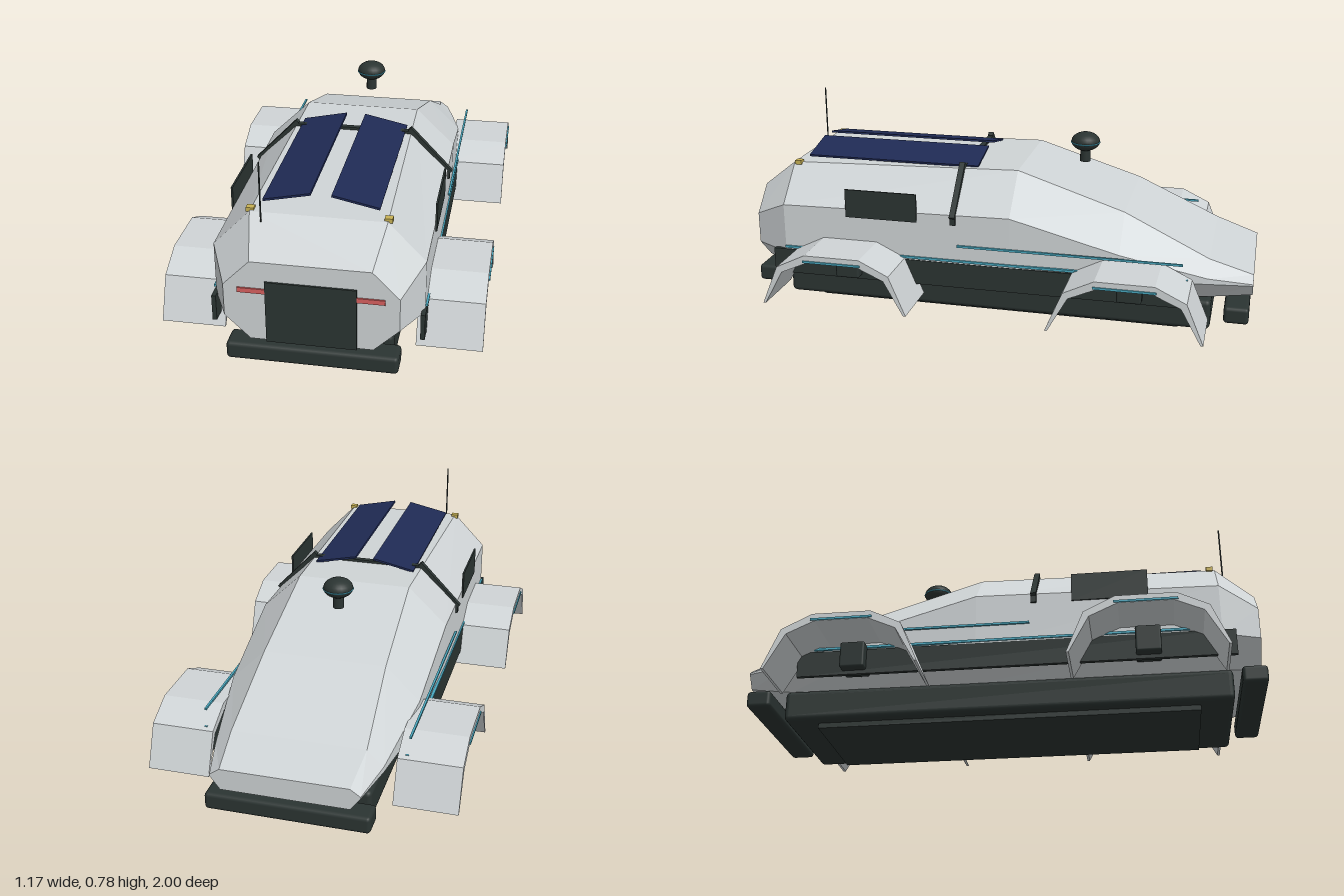
import * as THREE from 'three';
import { RoundedBoxGeometry } from 'three/addons/geometries/RoundedBoxGeometry.js';

const mat = (name, color, extra = {}) => {
  const m = new THREE.MeshStandardMaterial({ color, ...extra });
  m.name = name;
  return m;
};

// Lofts a faceted hull through eight-sided rings, ordered front to back.
function loft(stations) {
  const rings = stations.map(([z, t, yT, s, yU, yL, b, yB]) =>
    [[t, yT], [-t, yT], [-s, yU], [-s, yL], [-b, yB], [b, yB], [s, yL], [s, yU]].map(([x, y]) => [x, y, z]));
  const pos = [];
  const tri = (a, b, c) => pos.push(...a, ...b, ...c);
  for (let i = 0; i < rings.length - 1; i++) {
    for (let j = 0; j < 8; j++) {
      const k = (j + 1) % 8, A = rings[i], B = rings[i + 1];
      tri(A[j], B[j], B[k]);
      tri(A[j], B[k], A[k]);
    }
  }
  const first = rings[0], last = rings[rings.length - 1];
  for (let j = 1; j < 7; j++) {
    tri(first[0], first[j], first[j + 1]);
    tri(last[0], last[j + 1], last[j]);
  }
  const g = new THREE.BufferGeometry();
  g.setAttribute('position', new THREE.Float32BufferAttribute(pos, 3));
  g.computeVertexNormals();
  return g;
}

// Angular wheel arch, tapering in thickness towards its tips.
function fenderGeometry(width) {
  const outer = [[0.29, 0.1], [0.225, 0.255], [0.11, 0.311]];
  const inner = [[0.1, 0.282], [0.205, 0.235], [0.28, 0.1]];
  const flip = (list) => list.map(([x, y]) => [-x, y]).reverse();
  const pts = [...outer, ...flip(outer), ...flip(inner), ...inner];
  const shape = new THREE.Shape(pts.map(([x, y]) => new THREE.Vector2(x, y)));
  const g = new THREE.ExtrudeGeometry(shape, { depth: width, bevelEnabled: false });
  return g.rotateY(Math.PI / 2).translate(-width / 2, 0, 0);
}

export function createModel() {
  const root = new THREE.Group();
  root.name = 'hoverTransport';
  const shell = mat('pale grey shell', 0xcfd4d6, { flatShading: true });
  const dark = mat('dark trim', 0x2b3432);
  const navy = mat('navy solar cells', 0x1f2a54);
  const cyan = mat('cyan light strip', 0x4aa9c0);
  const red = mat('red lamp', 0xd8605f);
  const gold = mat('gold marker lamp', 0xc8b255);

  const add = (name, geometry, material, x = 0, y = 0, z = 0) => {
    const m = new THREE.Mesh(geometry, material);
    m.name = name;
    m.position.set(x, y, z);
    root.add(m);
    return m;
  };
  // Box given by its lower and upper limits on each axis.
  const box = (name, material, [x0, x1], [y0, y1], [z0, z1], r = 0) => {
    const size = [x1 - x0, y1 - y0, z1 - z0];
    const g = r ? new RoundedBoxGeometry(...size, 2, r) : new THREE.BoxGeometry(...size);
    return add(name, g, material, (x0 + x1) / 2, (y0 + y1) / 2, (z0 + z1) / 2);
  };
  const side = (s, a, b) => (s > 0 ? [a, b] : [-b, -a]);

  // Hull: z, top half-width and y, side half-width, upper y, lower y, bottom half-width and y
  add('hull', loft([
    [0.985, 0.21, 0.462, 0.305, 0.365, 0.242, 0.215, 0.155],
    [0.84, 0.24, 0.575, 0.375, 0.435, 0.235, 0.265, 0.135],
    [-0.08, 0.225, 0.597, 0.378, 0.45, 0.235, 0.265, 0.135],
    [-0.5, 0.235, 0.463, 0.365, 0.335, 0.235, 0.26, 0.135],
    [-0.83, 0.25, 0.307, 0.312, 0.25, 0.228, 0.24, 0.148],
    [-0.998, 0.235, 0.252, 0.272, 0.226, 0.22, 0.235, 0.17],
  ]), shell);

  // Undercarriage and bumpers
  box('belly', dark, [-0.27, 0.27], [0.02, 0.14], [-0.845, 0.875], 0.018);
  box('bellyPlate', dark, [-0.22, 0.22], [0, 0.03], [-0.72, 0.75]);
  box('frontBumper', dark, [-0.303, 0.303], [0.07, 0.136], [0.905, 1], 0.014);
  box('rearBumper', dark, [-0.303, 0.303], [0.07, 0.136], [-0.99, -0.895], 0.014);

  // Front hatch
  box('frontHatch', dark, [-0.158, 0.158], [0.152, 0.39], [0.97, 0.992]);

  const fender = fenderGeometry(0.236);
  for (const s of [1, -1]) {
    box('sideSkirt', dark, side(s, 0.364, 0.38), [0.15, 0.25], [-0.77, 0.89]);
    box('sidePanel', dark, side(s, 0.375, 0.382), [0.407, 0.52], [0.287, 0.577]);
    box('lowerLightStrip', cyan, side(s, 0.372, 0.383), [0.256, 0.265], [-0.76, 0.84]);
    box('upperLightStrip', cyan, side(s, 0.38, 0.388), [0.32, 0.328], [-0.74, 0.125]);
    box('frontLamp', red, side(s, 0.155, 0.255), [0.342, 0.36], [0.98, 0.991]);
    box('markerLamp', gold, side(s, 0.227, 0.255), [0.568, 0.584], [0.807, 0.833]);

    // Wheel arches with struts and edge lights
    for (const z of [0.565, -0.55]) {
      add('fender', fender, shell, s * 0.463, 0, z);
      box('fenderStrut', dark, side(s, 0.31, 0.42), [0.165, 0.268], [z - 0.045, z + 0.05], 0.008);
      box('fenderLight', cyan, side(s, 0.578, 0.586), [0.283, 0.291], [z - 0.115, z + 0.115]);
    }

    // Tilted solar panel
    const panel = add('solarPanel', new THREE.BoxGeometry(0.173, 0.008, 0.705), navy, s * 0.121, 0.612, 0.437);
    panel.rotation.z = -s * 0.21;

    // Sloping part of the roof strap
    const strap = add('strapSide', new THREE.BoxGeometry(0.24, 0.016, 0.022), dark, s * 0.306, 0.524, 0.142);
    strap.rotation.z = -s * 0.81;
    box('strapEnd', dark, side(s, 0.372, 0.386), [0.408, 0.445], [0.131, 0.153]);
  }
  box('strapTop', dark, [-0.235, 0.235], [0.586, 0.602], [0.131, 0.153]);

  // Sensor dome on its stem
  add('sensorStem', new THREE.CylinderGeometry(0.021, 0.021, 0.06, 16), dark, 0, 0.617, -0.305);
  add('sensorDome', new THREE.SphereGeometry(0.057, 24, 14), dark, 0, 0.668, -0.305).scale.y = 0.66;
  const ring = add('sensorRing', new THREE.TorusGeometry(0.056, 0.003, 6, 32), cyan, 0, 0.665, -0.305);
  ring.rotation.x = Math.PI / 2;

  // Antenna
  add('antenna', new THREE.CylinderGeometry(0.003, 0.003, 0.225, 8), dark, -0.192, 0.668, 0.873);
  return root;
}
